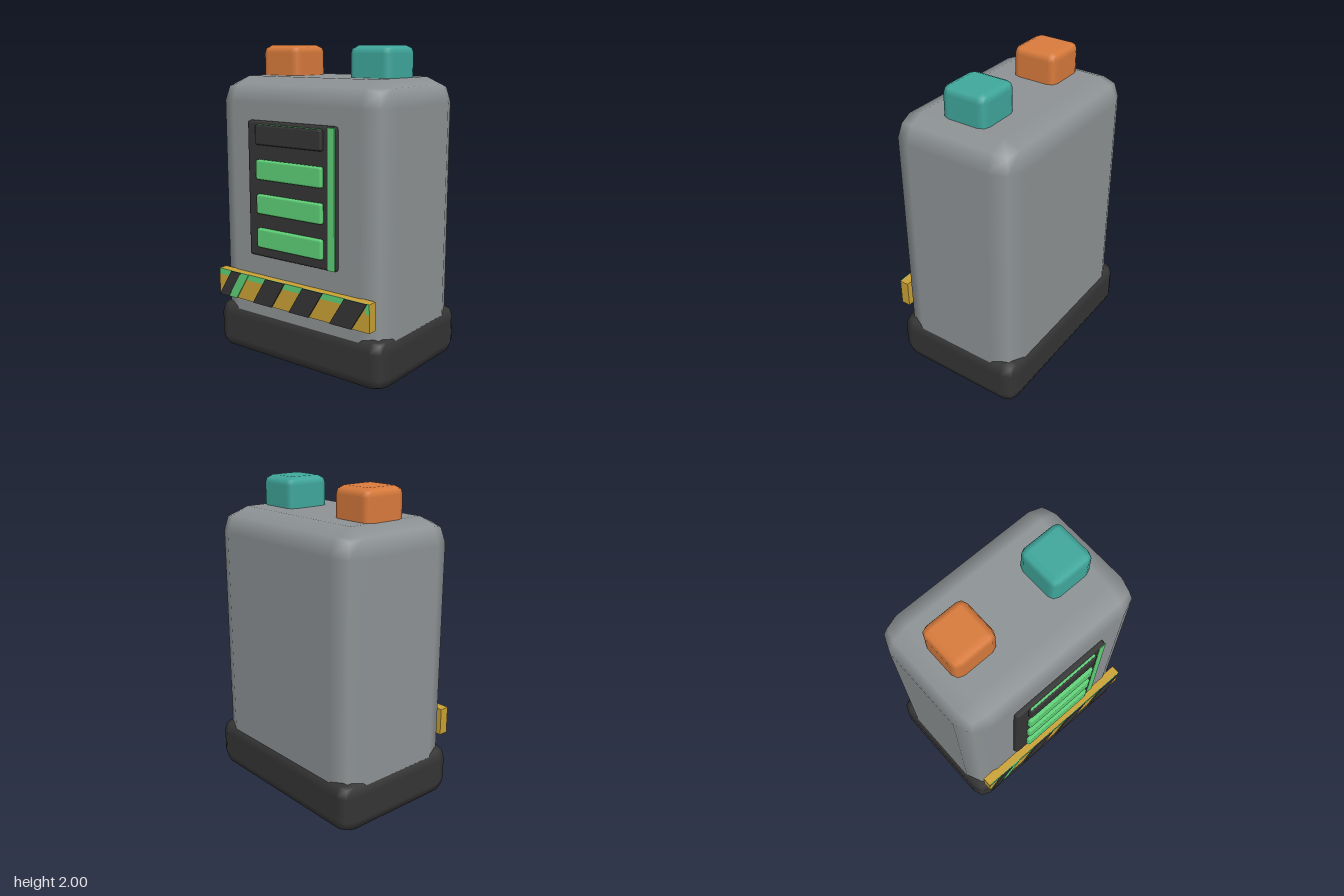
import * as THREE from 'three';
import { RoundedBoxGeometry } from 'three/addons/geometries/RoundedBoxGeometry.js';

const mat = (name, color) => {
  const m = new THREE.MeshStandardMaterial({ color });
  m.name = name;
  return m;
};

export function createModel() {
  const group = new THREE.Group();
  group.name = 'powerCell';
  const gray = mat('casingGray', 0x8e9395);
  const dark = mat('darkRubber', 0x353535);
  const green = mat('indicatorGreen', 0x5fd077);
  const gold = mat('hazardGold', 0xcaa235);
  const orange = mat('terminalOrange', 0xd97b3c);
  const teal = mat('terminalTeal', 0x40a89d);

  const add = (name, geometry, material) => {
    const mesh = new THREE.Mesh(geometry, material);
    mesh.name = name;
    group.add(mesh);
    return mesh;
  };

  // Boxes are given by their limits on each axis; r > 0 rounds the edges
  const block = (name, material, [x0, x1], [y0, y1], [z0, z1], r = 0) => {
    const size = [x1 - x0, y1 - y0, z1 - z0];
    const geometry = r > 0
      ? new RoundedBoxGeometry(...size, 1, r)
      : new THREE.BoxGeometry(...size);
    return add(name, geometry, material)
      .position.set((x0 + x1) / 2, (y0 + y1) / 2, (z0 + z1) / 2);
  };

  // Casing and base
  block('casing', gray, [-0.645, 0.645], [0.1, 1.81], [-0.447, 0.41], 0.155);
  block('base', dark, [-0.665, 0.665], [0, 0.335], [-0.47, 0.43], 0.09);

  // Terminals
  block('rightTerminal', orange, [-0.495, -0.197], [1.72, 2], [-0.17, 0.13], 0.05);
  block('leftTerminal', teal, [0.193, 0.491], [1.72, 2], [-0.17, 0.13], 0.05);

  // Charge display
  block('displayPanel', dark, [-0.345, 0.34], [0.695, 1.55], [0.37, 0.44], 0.02);
  block('displaySideStrip', green, [0.285, 0.334], [0.702, 1.543], [0.437, 0.442]);
  for (let i = 0; i < 4; i++) {
    const y = 0.76 + i * 0.215;
    block('chargeBar' + (i + 1), i < 3 ? green : dark,
      [-0.26, 0.252], [y, y + 0.125], [0.41, 0.465], 0.014);
  }
  block('topBarEdge', green, [-0.25, 0.245], [1.519, 1.531], [0.44, 0.454]);

  // Hazard band
  const bottom = 0.39, top = 0.565, slant = 0.11;
  block('hazardBand', gold, [-0.602, 0.6], [bottom, top], [0.4, 0.461]);
  block('bandTopStrip', green, [-0.6, 0.598], [0.526, top], [0.46, 0.463]);
  block('bandEndMark', green, [0.575, 0.598], [0.5, 0.53], [0.46, 0.463]);

  // Slanted plates across the band, from the x limits of their lower edge
  const slash = (name, material, x0, x1, depth) => {
    const shape = new THREE.Shape([
      new THREE.Vector2(x0, bottom), new THREE.Vector2(x1, bottom),
      new THREE.Vector2(x1 + slant, top), new THREE.Vector2(x0 + slant, top),
    ]);
    const geometry = new THREE.ExtrudeGeometry(shape, { depth, bevelEnabled: false });
    add(name, geometry, material).position.z = 0.461;
  };
  [[-0.597, -0.513], [-0.3, -0.143], [0, 0.155], [0.315, 0.475]].forEach(
    ([a, b], i) => slash('hazardStripe' + (i + 1), dark, a, b, 0.009));
  slash('greenStripe', green, -0.513, -0.445, 0.007);

  return group;
}
